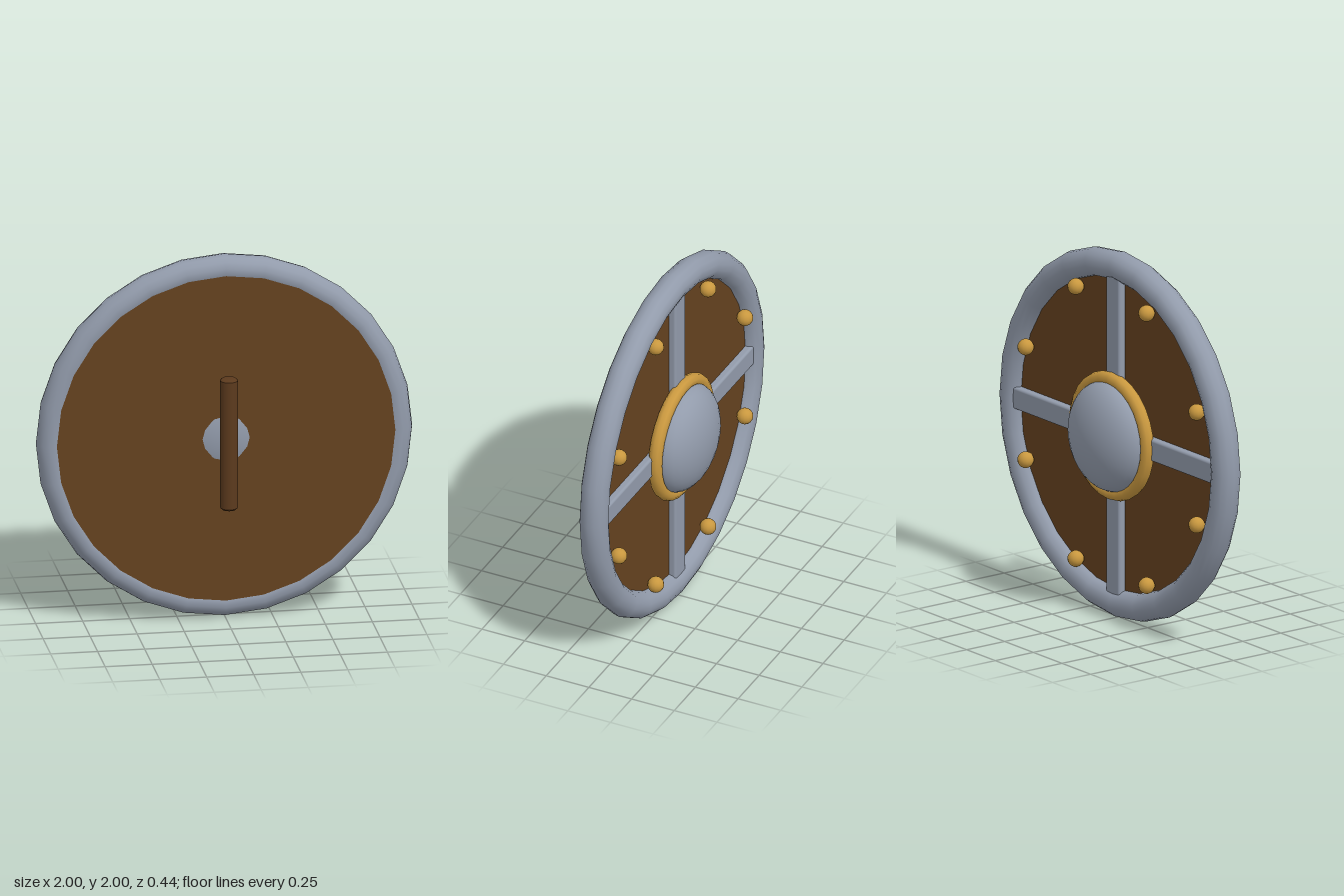
import * as THREE from 'three';
import { RoundedBoxGeometry } from 'three/addons/geometries/RoundedBoxGeometry.js';

export function createModel() {
  const material = (name, color) => {
    const m = new THREE.MeshStandardMaterial({ color });
    m.name = name;
    return m;
  };
  const wood = material('wood', 0x65421f);
  const gripWood = material('grip wood', 0x5c3a1d);
  const steel = material('steel', 0x929bab);
  const brass = material('brass', 0xc9983f);

  // Everything is built around the disc centre, then lifted onto the ground
  const shield = new THREE.Group();
  shield.name = 'shield';
  const add = (name, geometry, mat, x = 0, y = 0, z = 0) => {
    const mesh = new THREE.Mesh(geometry, mat);
    mesh.name = name;
    mesh.position.set(x, y + 1, z);
    shield.add(mesh);
    return mesh;
  };

  // Rim and wooden board
  add('rim', new THREE.TorusGeometry(0.923, 0.077, 14, 28), steel, 0, 0, 0.008);
  const board = new THREE.CylinderGeometry(0.91, 0.91, 0.084, 56).rotateX(Math.PI / 2);
  add('board', board, wood, 0, 0, 0.038);

  // Flattened boss passing through the board, with its brass collar
  const boss = new THREE.SphereGeometry(0.296, 28, 18).scale(1, 1, 0.534);
  add('boss', boss, steel, 0, 0, -0.063);
  add('bossRing', new THREE.TorusGeometry(0.312, 0.037, 10, 28), brass, 0, 0, -0.048);

  // Four reinforcing bars
  for (let i = 0; i < 4; i++) {
    const angle = i * Math.PI / 2;
    const bar = add('bar', new RoundedBoxGeometry(0.64, 0.12, 0.06, 2, 0.014), steel,
      0.555 * Math.cos(angle), 0.555 * Math.sin(angle), -0.013);
    bar.rotation.z = angle;
  }

  // Eight rivets, two in each quarter
  const rivet = new THREE.SphereGeometry(0.044, 14, 10);
  for (let i = 0; i < 8; i++) {
    const angle = (i + 0.5) * Math.PI / 4;
    add('rivet', rivet, brass, 0.807 * Math.cos(angle), 0.807 * Math.sin(angle), -0.05);
  }

  // Upright grip with bevelled ends
  const profile = [[0, -0.362], [0.037, -0.362], [0.037, -0.362], [0.047, -0.352], [0.047, -0.352],
    [0.047, 0.352], [0.047, 0.352], [0.037, 0.362], [0.037, 0.362], [0, 0.362]];
  const grip = new THREE.CylinderGeometry(0.047, 0.047, 0.704, 18, 1, true);
  add('grip', grip, gripWood, 0, 0.002, 0.174);
  for (const s of [-1, 1]) {
    const points = profile.slice(0, 2).concat(profile.slice(3, 4)).map(([x, y]) => new THREE.Vector2(x, y));
    const cap = new THREE.LatheGeometry(points, 18);
    if (s > 0) cap.rotateX(Math.PI);
    add('gripEnd', cap, gripWood, 0, 0.002, 0.174);
  }
  return shield;
}
